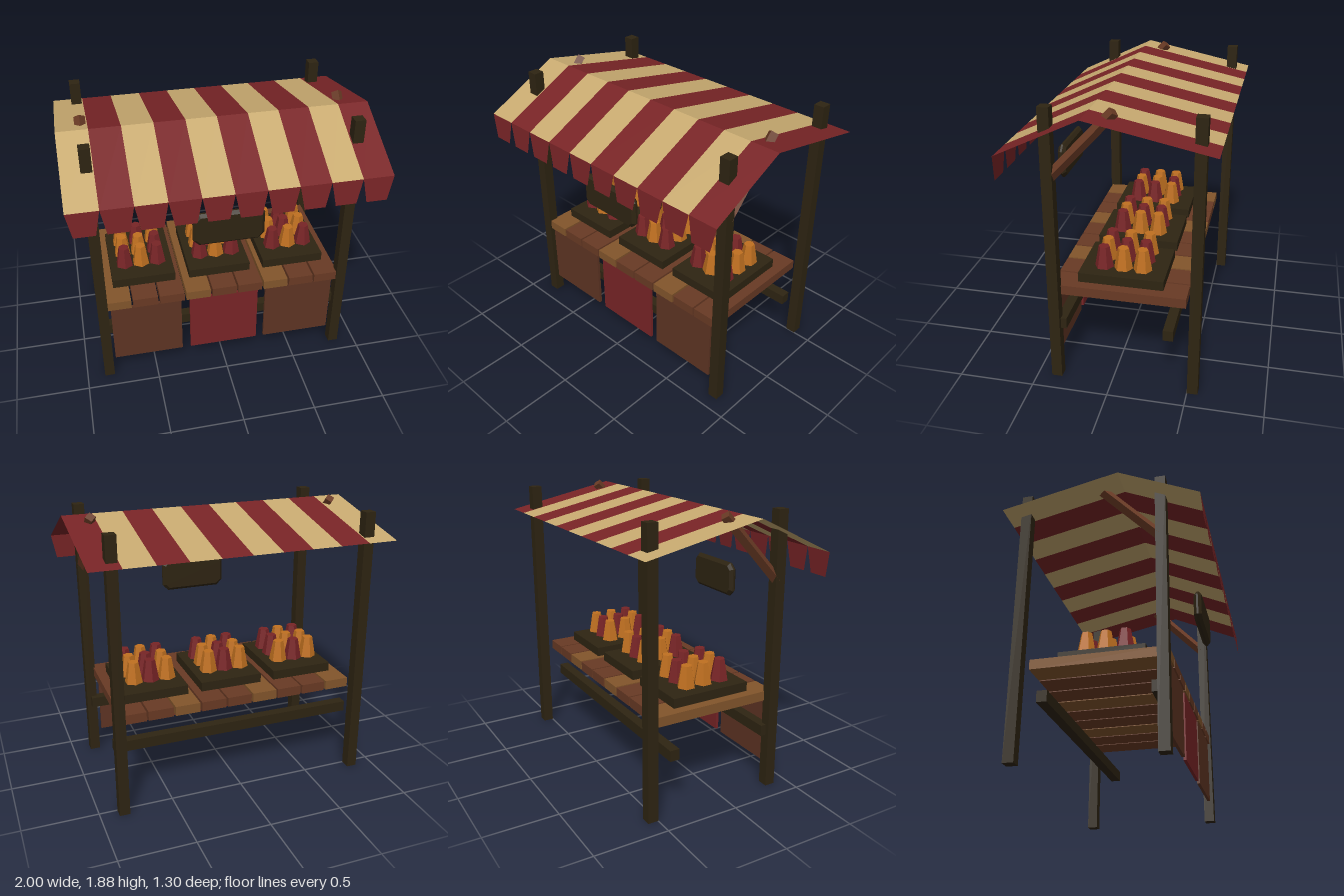
import * as THREE from 'three';

const mat = (name, color, extra = {}) => {
  const m = new THREE.MeshStandardMaterial({ color, ...extra });
  m.name = name;
  return m;
};

export function createModel() {
  const group = new THREE.Group();
  const darkWood = mat('dark wood', 0x2e2412);
  const panelWood = mat('panel wood', 0x5e3423);
  const plankWood = mat('plank wood', 0x693a24);
  const lightPlank = mat('light plank', 0x82552b);
  const red = mat('red', 0x782426);
  const orange = mat('orange', 0xc07020);
  const redCloth = mat('red cloth', 0x782426, { side: THREE.DoubleSide });
  const creamCloth = mat('cream cloth', 0xc8aa70, { side: THREE.DoubleSide });

  const add = (name, geo, material, x = 0, y = 0, z = 0) => {
    const mesh = new THREE.Mesh(geo, material);
    mesh.name = name;
    mesh.position.set(x, y, z);
    group.add(mesh);
    return mesh;
  };
  const box = (name, w, h, d, material, x, y, z) =>
    add(name, new THREE.BoxGeometry(w, h, d), material, x, y, z);

  // Posts and the slanted braces holding the awning
  for (const x of [-0.843, 0.843]) {
    for (const z of [0.37, -0.535]) box('post', 0.07, 1.86, 0.07, darkWood, x, 0.93, z);
    const brace = box('brace', 0.05, 0.59, 0.05, plankWood, x, 1.635, 0.165);
    brace.rotation.set(-Math.atan2(0.4, 0.43), Math.PI / 4, 0);
  }

  // Long rails under the counter
  for (const z of [0.33, -0.365]) box('rail', 1.7, 0.073, 0.066, darkWood, 0, 0.403, z);

  // Counter planks
  for (let i = 0; i < 9; i++) {
    box('counterPlank', 0.17, 0.065, 0.865, i % 3 ? plankWood : lightPlank, (i - 4) * 0.183, 0.633, -0.037);
  }

  // Front panels
  [-0.547, -0.002, 0.538].forEach((x, i) =>
    box('frontPanel', 0.485, 0.455, 0.02, i === 1 ? red : panelWood, x, 0.373, 0.375));

  // Trays, each with nine six-sided goods; rows run front to back
  const goodGeo = new THREE.CylinderGeometry(0.036, 0.062, 0.145, 6).toNonIndexed();
  goodGeo.computeVertexNormals();
  const rows = [
    ['ROR', 'OOR', 'ORO'],
    ['ROR', 'ORO', 'ORO'],
    ['ROR', 'ORO', 'ORO'],
  ];
  [-0.535, -0.002, 0.53].forEach((x, t) => {
    box('tray', 0.435, 0.064, 0.555, darkWood, x, 0.697, -0.037);
    rows[t].forEach((row, j) => [...row].forEach((c, i) =>
      add('produce', goodGeo, c === 'R' ? red : orange, x + (i - 1) * 0.115, 0.817, 0.09 - j * 0.126)));
  });

  // Hanging sign board with bevelled edges
  const w = 0.213, h = 0.098, c = 0.028;
  const board = new THREE.Shape([
    [-w + c, -h], [w - c, -h], [w, -h + c], [w, h - c],
    [w - c, h], [-w + c, h], [-w, h - c], [-w, -h + c],
  ].map(([x, y]) => new THREE.Vector2(x, y)));
  const signGeo = new THREE.ExtrudeGeometry(board, {
    depth: 0.014, bevelSize: 0.02, bevelThickness: 0.02, bevelSegments: 1,
  });
  add('signBoard', signGeo, darkWood, -0.002, 1.258, 0.483);

  // Cloth quad between two edges, corners as [x, y, z]
  const quad = (a, b, d, e) => {
    const g = new THREE.BufferGeometry();
    g.setAttribute('position', new THREE.Float32BufferAttribute([a, b, d, a, d, e].flat(), 3));
    g.computeVertexNormals();
    return g;
  };

  // Striped awning and its flaps
  const profile = [[1.59, 0.643], [1.84, 0.12], [1.68, -0.65]];
  for (let i = 0; i < 10; i++) {
    const x0 = -1 + i * 0.2, x1 = x0 + 0.2;
    for (let k = 0; k < 2; k++) {
      const [p, q] = [profile[k], profile[k + 1]];
      add('awningStripe', quad([x0, ...p], [x1, ...p], [x1, ...q], [x0, ...q]), i % 2 ? redCloth : creamCloth);
    }
    add('awningFlap', quad(
      [x0 + 0.033, 1.425, 0.653], [x1 - 0.033, 1.425, 0.653],
      [x1, 1.59, 0.643], [x0, 1.59, 0.643]), redCloth);
  }
  return group;
}
